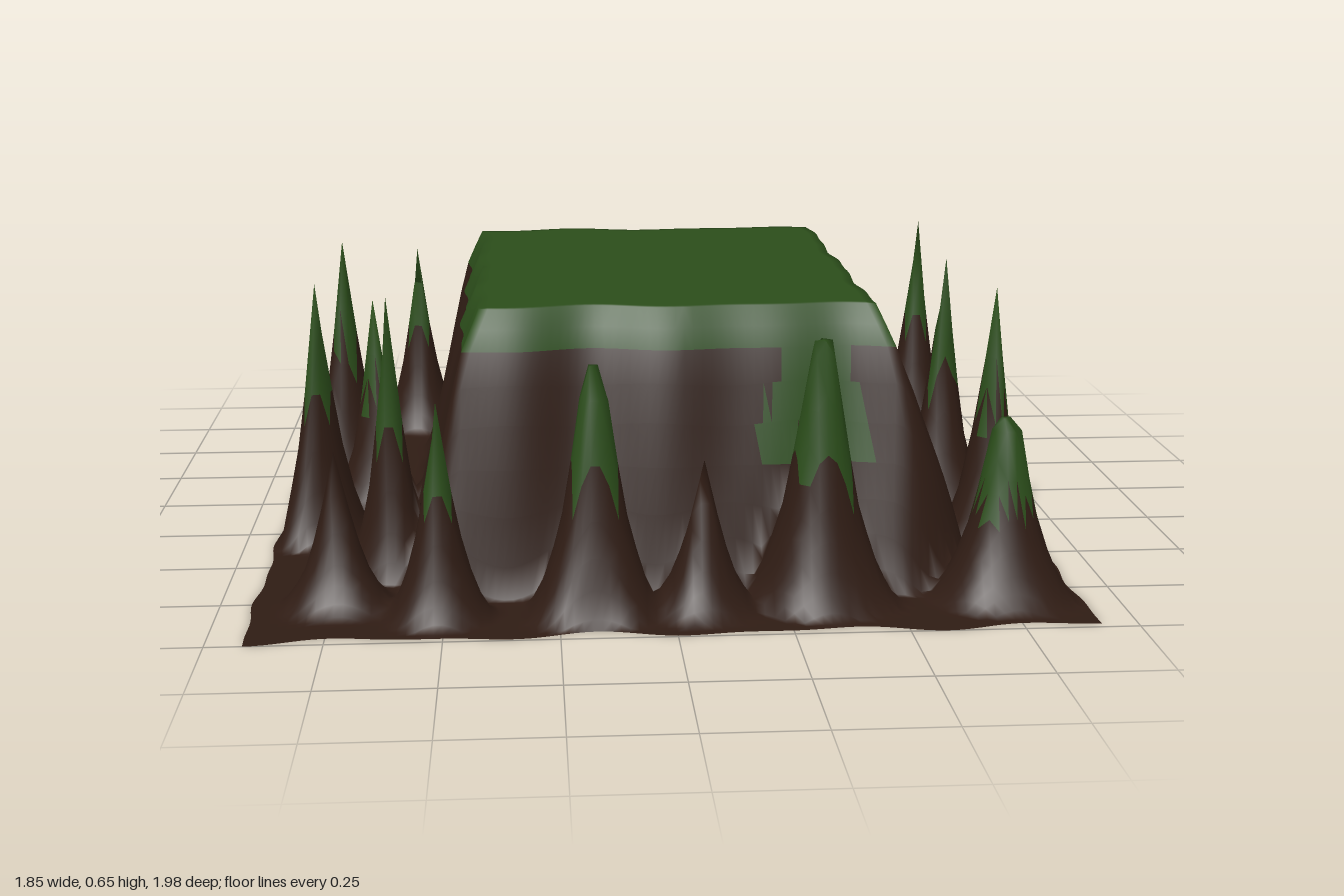
import * as THREE from 'three';

const STEP = 0.02, X0 = -0.92, X1 = 0.92, Z0 = -0.96, Z1 = 0.98;
const RIM = 0.54, TOP = 0.63, BEVEL = 0.04;
// rim of the plateau
const EDGE = { left: -0.46, right: 0.52, back: -0.52, front: 0.62 };

// spires: x, z, height, foot radius, cut-off height (for blunt tops)
const SPIRES = [
  [-0.63, -0.77, 0.53, 0.12], [-0.29, -0.75, 0.49, 0.12], [0.04, -0.83, 0.53, 0.12],
  [0.81, -0.55, 0.63, 0.12], [-0.81, -0.38, 0.62, 0.12], [-0.70, -0.02, 0.53, 0.12],
  [-0.81, 0.27, 0.63, 0.12], [-0.63, 0.53, 0.65, 0.11], [-0.73, 0.76, 0.35, 0.13],
  [-0.51, 0.83, 0.48, 0.12], [-0.17, 0.83, 0.72, 0.15, 0.55], [0.07, 0.82, 0.34, 0.13],
  [0.34, 0.78, 0.76, 0.17, 0.59], [0.75, 0.79, 0.56, 0.16, 0.41],
  [0.80, 0.42, 0.63, 0.12], [0.76, 0.03, 0.63, 0.12],
].map(([x, z, h, r, cap = h]) => ({ x, z, h, r, cap }));

const SPIRE_PROFILE = [[0, 1], [0.3, 0.52], [0.5, 0.27], [0.75, 0.1], [1, 0]];
const CLIFF_PROFILE = [[0, RIM], [0.2, 0.44], [0.4, 0.32], [0.7, 0.14], [0.85, 0.05], [1, 0]];

// piecewise linear lookup
function sample(profile, t) {
  for (let i = 1; i < profile.length; i++) {
    const [a, ya] = profile[i - 1], [b, yb] = profile[i];
    if (t <= b) return ya + (yb - ya) * (t - a) / (b - a);
  }
  return profile[profile.length - 1][1];
}

// signed distance outside the plateau rim
const rimDistance = (x, z) =>
  Math.max(EDGE.left - x, x - EDGE.right, EDGE.back - z, z - EDGE.front);

function plateauHeight(x, z) {
  const d = rimDistance(x, z);
  if (d <= 1e-6) return RIM + (TOP - RIM) * Math.min(1, Math.max(0, -d) / BEVEL);
  const dx = Math.max(0, (EDGE.left - x) / 0.14, (x - EDGE.right) / 0.2);
  const dz = Math.max(0, (EDGE.back - z) / 0.17, (z - EDGE.front) / 0.13);
  const ripple = 1 + 0.1 * Math.sin(19 * x + 2) * Math.sin(17 * z + 1);
  return sample(CLIFF_PROFILE, Math.hypot(dx, dz) * ripple);
}

function spireHeight(s, x, z) {
  const r = Math.hypot(x - s.x, z - s.z) / s.r;
  return Math.min(s.cap, s.h * sample(SPIRE_PROFILE, r));
}

function landHeight(x, z) {
  const border = Math.min(x - X0, X1 - x, z - Z0, Z1 - z);
  let y = plateauHeight(x, z);
  for (const s of SPIRES) y = Math.max(y, spireHeight(s, x, z));
  return y * Math.min(1, Math.max(0, border) / 0.04);
}

// grass grows on the plateau top and the upper part of tall spires
function isGrass(x, y, z) {
  if (rimDistance(x, z) < 0) return y > RIM;
  return SPIRES.some((s) => {
    if (s.cap < 0.4 || Math.hypot(x - s.x, z - s.z) > s.r) return false;
    const angle = Math.atan2(z - s.z, x - s.x);
    return y > s.cap * (0.52 + 0.05 * Math.cos(4 * angle));
  });
}

export function createModel() {
  const nx = Math.round((X1 - X0) / STEP), nz = Math.round((Z1 - Z0) / STEP);
  const pos = [];
  for (let j = 0; j <= nz; j++)
    for (let i = 0; i <= nx; i++) pos.push(X0 + i * STEP, 0, Z0 + j * STEP);

  // move the nearest grid point onto each spire tip
  for (const s of SPIRES) {
    const k = Math.round((s.z - Z0) / STEP) * (nx + 1) + Math.round((s.x - X0) / STEP);
    pos[3 * k] = s.x;
    pos[3 * k + 2] = s.z;
  }
  for (let k = 0; k < pos.length; k += 3) pos[k + 1] = landHeight(pos[k], pos[k + 2]);

  // sort triangles into soil and grass
  const soil = [], grass = [];
  const addTriangle = (...t) => {
    const [x, y, z] = [0, 1, 2].map((c) => t.reduce((sum, v) => sum + pos[3 * v + c], 0) / 3);
    (isGrass(x, y, z) ? grass : soil).push(...t);
  };
  for (let j = 0; j < nz; j++) {
    for (let i = 0; i < nx; i++) {
      const a = j * (nx + 1) + i, b = a + nx + 1, c = a + 1, d = b + 1;
      // diagonals run outward along the plateau corners
      if ((pos[3 * a] - 0.03) * (pos[3 * a + 2] - 0.05) > 0) {
        addTriangle(a, b, d);
        addTriangle(a, d, c);
      } else {
        addTriangle(a, b, c);
        addTriangle(c, b, d);
      }
    }
  }

  // wavy outline
  for (let k = 0; k < pos.length; k += 3) {
    const x = pos[k], z = pos[k + 2];
    pos[k] = x + 0.005 * Math.sin(15 * z) + 0.003 * Math.sin(31 * z + 1) - 0.003;
    pos[k + 2] = z + 0.012 * Math.sin(12.5 * x + 0.6) + 0.008 * Math.sin(21 * x + 2);
  }

  const land = new THREE.BufferGeometry();
  land.setAttribute('position', new THREE.Float32BufferAttribute(pos, 3));
  land.setIndex([...soil, ...grass]);
  land.computeVertexNormals();

  const group = new THREE.Group();
  group.name = 'plateauTerrain';
  const addPart = (name, index, color) => {
    const geometry = land.clone().setIndex(index);
    const material = new THREE.MeshStandardMaterial({ color, side: THREE.DoubleSide });
    const mesh = new THREE.Mesh(geometry, material);
    mesh.name = name;
    group.add(mesh);
  };
  addPart('soil', soil, 0x2f1c14);
  addPart('grass', grass, 0x2b4d1a);
  return group;
}
